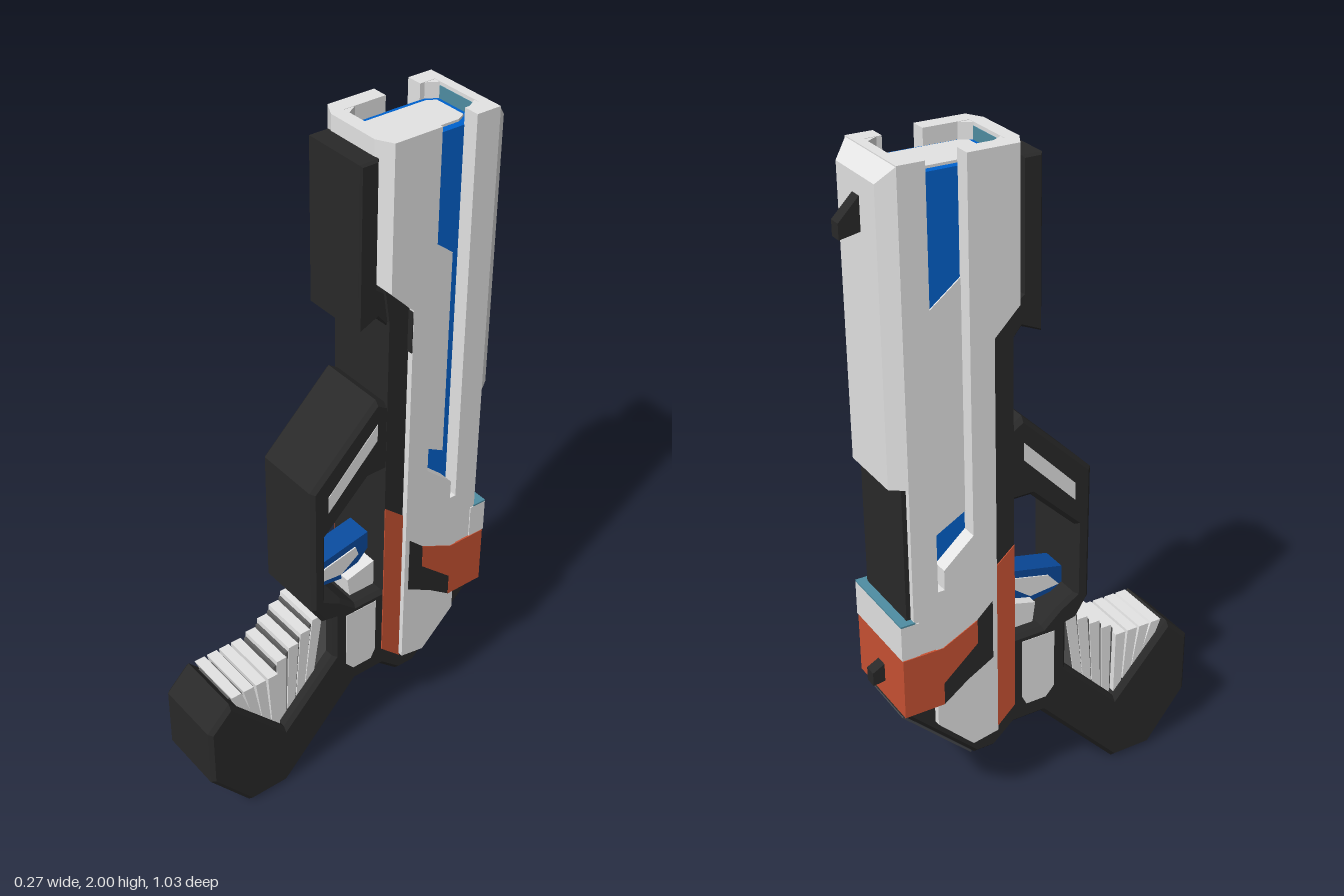
import * as THREE from 'three';

const paint = (name, color) => {
  const m = new THREE.MeshStandardMaterial({ color });
  m.name = name;
  return m;
};

export function createModel() {
  const model = new THREE.Group();
  model.name = 'sciFiPistol';
  const white = paint('lightGrey', 0xe4e4e4);
  const black = paint('charcoal', 0x292929);
  const grey = paint('midGrey', 0x606060);
  const slate = paint('slate', 0x45484d);
  const orange = paint('burntOrange', 0xc95233);
  const blue = paint('blue', 0x0062ce);
  const navy = paint('navy', 0x0a4a9c);
  const teal = paint('teal', 0x4f8ea3);

  const add = (name, geometry, material) => {
    const mesh = new THREE.Mesh(geometry, material);
    mesh.name = name;
    model.add(mesh);
    return mesh;
  };
  const toPoints = (list) => list.map(([a, b]) => new THREE.Vector2(a, b));

  // Side profile of [z, y] points, extruded across x from x0 to x1
  const slab = (name, material, pts, x0, x1, bevel = 0, hole = null) => {
    const shape = new THREE.Shape(toPoints(pts));
    if (hole) shape.holes.push(new THREE.Path(toPoints(hole)));
    const g = new THREE.ExtrudeGeometry(shape, {
      depth: x1 - x0 - 2 * bevel, bevelEnabled: bevel > 0, bevelSegments: 1,
      bevelSize: bevel, bevelThickness: bevel, bevelOffset: -bevel,
    });
    g.translate(0, 0, -x1 + bevel).rotateY(-Math.PI / 2);
    return add(name, g, material);
  };
  const across = (name, material, pts, half, bevel, hole) =>
    slab(name, material, pts, -half, half, bevel, hole);
  const bothSides = (name, material, pts, x0, x1) => [
    slab(name + 'Left', material, pts, x0, x1),
    slab(name + 'Right', material, pts, -x1, -x0)];
  const box = (name, material, half, y0, y1, z0, z1) =>
    across(name, material, [[z0, y0], [z1, y0], [z1, y1], [z0, y1]], half);

  // Plan outline of [x, z] points, extruded upward from y0 to y1
  const column = (name, material, pts, y0, y1) => {
    const g = new THREE.ExtrudeGeometry(
      new THREE.Shape(toPoints(pts.map(([x, z]) => [x, -z]))),
      { depth: y1 - y0, bevelEnabled: false });
    g.rotateX(-Math.PI / 2).translate(0, y0, 0);
    return add(name, g, material);
  };
  const octagon = (hx, z0, z1, cx, cz) => [
    [-hx, z0 + cz], [-hx + cx, z0], [hx - cx, z0], [hx, z0 + cz],
    [hx, z1 - cz], [hx - cx, z1], [-hx + cx, z1], [-hx, z1 - cz]];
  // Moves vertices by a rule, then refreshes the flat normals
  const reshape = (mesh, rule) => {
    const p = mesh.geometry.attributes.position;
    for (let i = 0; i < p.count; i++) rule(p, i);
    mesh.geometry.computeVertexNormals();
  };

  // Slide walls with a long slot open at the muzzle and cut front corners
  bothSides('slideWall', white, [
    [-0.06, 2], [-0.06, 1.61], [-0.16, 1.51], [-0.16, 0.29], [-0.24, 0.275],
    [-0.35, 0.385], [-0.35, 0.64], [-0.415, 0.64], [-0.415, 2], [-0.34, 2],
    [-0.34, 0.82], [-0.32, 0.82], [-0.32, 0.88], [-0.23, 0.96], [-0.23, 2],
  ], 0.085, 0.132).forEach((wall) => reshape(wall, (p, i) => {
    if (Math.abs(p.getX(i)) < 0.12 || p.getZ(i) < -0.08) return;
    p.setZ(i, -0.085);
    if (p.getY(i) < 1.7) p.setY(i, 1.585);
  }));
  box('slideFrontWall', white, 0.085, 1.6, 2, -0.1, -0.06);
  box('slideRearWall', white, 0.085, 0.64, 2, -0.415, -0.388);
  box('lowerReceiver', white, 0.085, 0.45, 0.9, -0.4, -0.11);
  bothSides('shoulderShadowStrip', black,
    [[-0.157, 1.505], [-0.157, 1.38], [-0.163, 1.38], [-0.163, 1.505]], 0.11, 0.131);

  // Chamfered back of the slide, with its top edge cut down
  reshape(column('slideBack', white,
    [[0.132, -0.412], [0.1, -0.457], [-0.1, -0.457], [-0.132, -0.412]], 1.15, 2), (p, i) => {
    if (p.getY(i) > 1.9 && p.getZ(i) < -0.44) p.setY(i, 1.955);
  });
  box('rearPanel', black, 0.115, 0.75, 1.15, -0.428, -0.41);
  box('rearBand', white, 0.135, 0.64, 0.745, -0.455, -0.4);
  box('rearBandTop', teal, 0.135, 0.745, 0.75, -0.455, -0.412);

  // Inner barrel core, its muzzle face and the corner fillers around it
  column('barrelCore', blue, octagon(0.086, -0.389, -0.099, 0.022, 0.036), 0.8, 1.955);
  column('muzzleFace', white, octagon(0.065, -0.367, -0.121, 0.014, 0.026), 1.95, 1.962);
  for (const s of [-1, 1]) {
    for (const [z, inward] of [[-0.389, 0.036], [-0.099, -0.036]]) {
      column('muzzleCorner', white, [[s * 0.086, z], [s * 0.064, z], [s * 0.086, z + inward]], 1.9, 1.999);
    }
  }
  bothSides('barrelSidePlate', white,
    [[-0.23, 1.675], [-0.32, 1.605], [-0.32, 0.965], [-0.23, 1.015]], 0.083, 0.09);
  box('muzzleLiningRear', teal, 0.064, 1.955, 1.99, -0.389, -0.386);
  box('muzzleLiningFront', teal, 0.064, 1.955, 1.99, -0.102, -0.099);

  // Black under-barrel block and spine
  across('underBarrel', black, [[-0.004, 1.955], [-0.062, 1.955], [-0.062, 1.6],
    [-0.1, 1.57], [-0.1, 1.47], [-0.064, 1.51], [-0.004, 1.485]], 0.105, 0.006);
  across('spine', black, [[-0.08, 1.59], [-0.161, 1.508], [-0.161, 0.45],
    [-0.095, 0.45], [-0.095, 1.49]], 0.114);

  // Frame: trigger guard, grip and heel in one piece
  across('frame', black, [
    [-0.165, 1.2], [-0.095, 1.236], [-0.064, 1.257], [0.154, 1.045], [0.154, 0.626],
    [0.115, 0.565], [0.08, 0.557], [0.08, 0.41], [0.255, 0.228], [0.44, 0.435],
    [0.515, 0.36], [0.515, 0.165], [0.387, 0.003], [0.255, 0.003], [0, 0.276],
    [-0.095, 0.276], [-0.16, 0.218], [-0.223, 0.218], [-0.45, 0.44], [-0.43, 0.467],
    [-0.165, 0.467]], 0.113, 0.012, [
    [-0.095, 0.573], [0, 0.573], [0.053, 0.62], [0.106, 0.652],
    [0.106, 0.875], [-0.037, 1.013], [-0.095, 1.013]]);
  across('heelPlate', slate,
    [[-0.23, 0.222], [-0.442, 0.429], [-0.445, 0.425], [-0.233, 0.218]], 0.1);
  bothSides('guardInlay', white,
    [[-0.064, 1.183], [-0.064, 1.13], [0.1, 0.96], [0.1, 1.013]], 0.108, 0.1145);
  bothSides('gripInlay', white, [[0.037, 0.55], [-0.07, 0.55], [-0.07, 0.36],
    [-0.055, 0.33], [0.01, 0.33], [0.037, 0.36]], 0.108, 0.1145);

  // Finger ribs fanning out of the grip notch, over a stepped grey bed
  const bed = [];
  for (let i = 0; i < 8; i++) {
    const z = 0.425 - 0.042 * i;
    const y = 0.44 + Math.max(0, i - 3) * 0.03;
    const foot = 0.255 + (z - 0.255) * 0.75;
    const footY = 0.2 + Math.abs(foot - 0.255) * 1.05;
    across('gripRib', white, [[z, y], [z - 0.034, y], [foot - 0.026, footY], [foot, footY]],
      i < 4 ? 0.093 : 0.078);
    bed.push([z + (i ? 0.009 : 0), y - 0.016], [z - 0.033, y - 0.016]);
  }
  across('gripRibBed', grey, [...bed, [0.07, 0.54], [0.07, 0.4], [0.255, 0.215]], 0.074);

  // Trigger
  across('trigger', navy, [[0.106, 0.705], [-0.097, 0.748], [-0.097, 0.69],
    [-0.06, 0.65], [0, 0.62], [0.106, 0.635]], 0.04);
  bothSides('triggerInlay', white, [[0.095, 0.65], [0.06, 0.69], [-0.05, 0.715],
    [-0.06, 0.685], [0, 0.64]], 0.036, 0.044);
  across('triggerBase', white, [[0, 0.635], [-0.097, 0.66], [-0.097, 0.565], [-0.01, 0.565]], 0.07);

  // Orange trim and black insets on the lower receiver
  bothSides('orangeStrip', orange,
    [[-0.095, 0.88], [-0.162, 0.822], [-0.162, 0.281], [-0.095, 0.345]], 0.108, 0.117);
  across('rearBlock', orange, [[-0.223, 0.69], [-0.33, 0.637], [-0.452, 0.637],
    [-0.452, 0.45], [-0.33, 0.45], [-0.33, 0.52], [-0.223, 0.615]], 0.1345);
  bothSides('receiverInset', black, [[-0.175, 0.735], [-0.223, 0.69], [-0.223, 0.615],
    [-0.33, 0.52], [-0.33, 0.45], [-0.255, 0.505], [-0.175, 0.55]], 0.126, 0.134);

  // Sight stud and rear pin
  across('sight', black, [[-0.45, 1.91], [-0.515, 1.845], [-0.515, 1.803], [-0.45, 1.815]], 0.018);
  across('rearPin', black, [[-0.44, 0.565], [-0.488, 0.54], [-0.488, 0.498], [-0.44, 0.505]], 0.018);
  return model;
}
